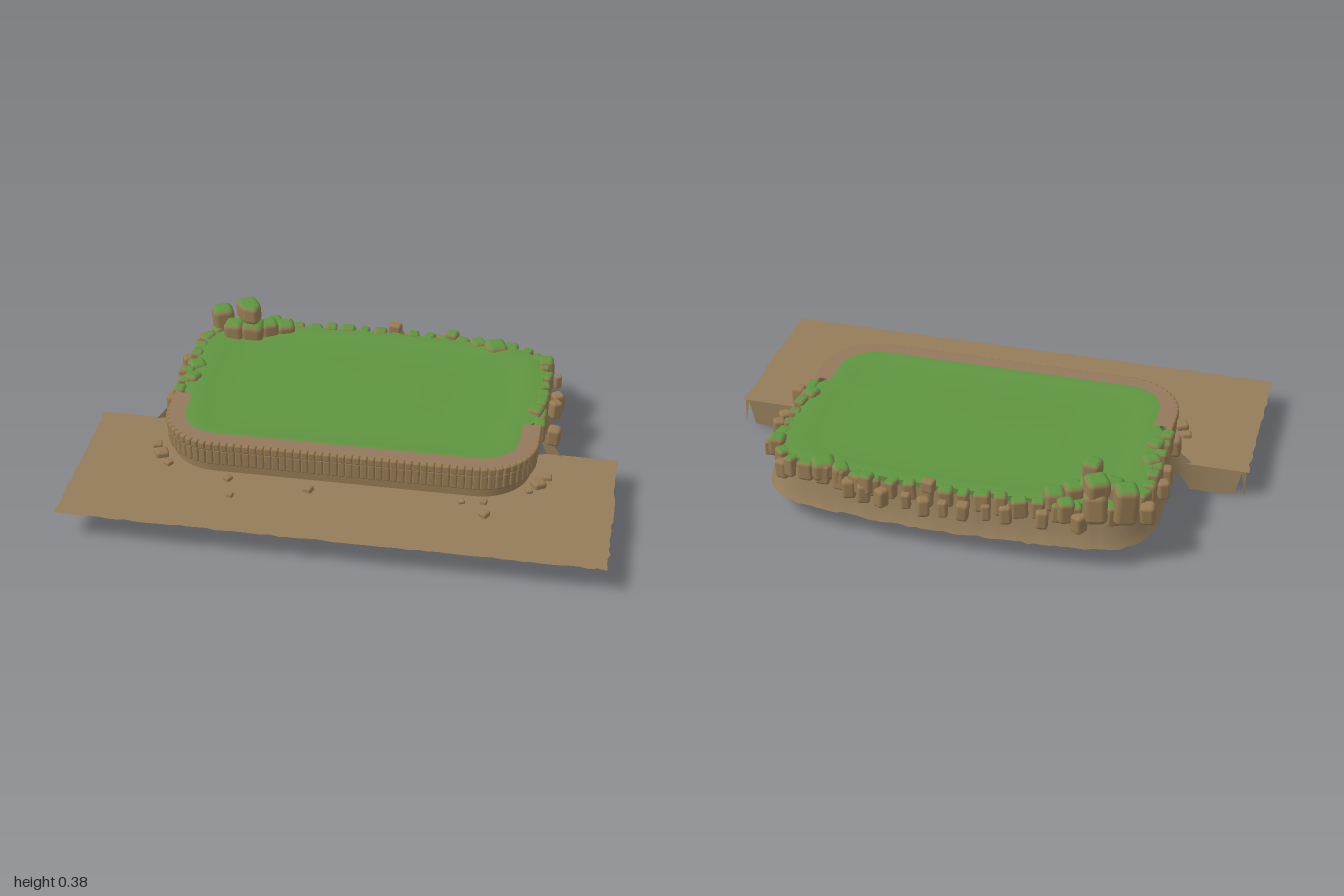
import * as THREE from 'three';
import { RoundedBoxGeometry } from 'three/addons/geometries/RoundedBoxGeometry.js';

const mat = (name, color) => {
  const m = new THREE.MeshStandardMaterial({ color, side: THREE.DoubleSide });
  m.name = name;
  return m;
};

export function createModel() {
  const model = new THREE.Group();
  model.name = 'walledTerrace';
  const grass = mat('grass green', 0x5f9440);
  const earth = mat('earth brown', 0x937c5a);
  const stone = mat('stone brown', 0x957a53);
  const coping = mat('coping brown', 0x93785c);
  const mossy = [stone, stone, grass, stone, stone, stone];

  let seed = 7;
  const rnd = (a, b) => {
    seed = (seed * 16807) % 2147483647;
    return a + (b - a) * (seed / 2147483647);
  };
  const add = (name, geometry, material, parent = model) => {
    const mesh = new THREE.Mesh(geometry, material);
    mesh.name = name;
    parent.add(mesh);
    return mesh;
  };
  const group = (name) => {
    const g = new THREE.Group();
    g.name = name;
    model.add(g);
    return g;
  };

  // Surface through rows of [x, y, z] points
  const loft = (rows) => {
    const n = rows[0].length, index = [];
    for (let r = 0; r < rows.length - 1; r++) {
      for (let i = 0; i < n - 1; i++) {
        const a = r * n + i, c = a + n;
        index.push(a, a + 1, c, a + 1, c + 1, c);
      }
    }
    const geo = new THREE.BufferGeometry();
    geo.setAttribute('position', new THREE.Float32BufferAttribute(rows.flat(2), 3));
    geo.setIndex(index);
    geo.computeVertexNormals();
    return geo;
  };

  // Evenly spaced places along a plan path, moved outward by off
  const along = (path, n, off) => Array.from({ length: n + 1 }, (_, i) => {
    const p = path.getPointAt(i / n), t = path.getTangentAt(i / n);
    return { x: p.x + t.y * off, z: -(p.y - t.x * off), turn: Math.atan2(t.y, t.x) };
  });
  const atY = (pts, y) => pts.map((p) => [p.x, y, p.z]);

  // Plan outlines, in x and -z
  const back = new THREE.Path().moveTo(0.69, 0.04).lineTo(0.685, 0.38);
  back.quadraticCurveTo(0.67, 0.54, 0.52, 0.56);
  back.quadraticCurveTo(0, 0.62, -0.52, 0.56);
  back.quadraticCurveTo(-0.67, 0.54, -0.685, 0.38).lineTo(-0.69, 0.04);
  const front = new THREE.Path().moveTo(-0.685, 0).lineTo(-0.685, -0.1);
  front.absarc(-0.485, -0.105, 0.2, Math.PI, Math.PI * 1.5, false);
  front.lineTo(0.485, -0.305);
  front.absarc(0.485, -0.105, 0.2, Math.PI * 1.5, Math.PI * 2, false);
  front.lineTo(0.685, 0);

  // Lawn with a gentle swell, and its skirt
  const edge = [...along(back, 60, -0.01), ...along(front, 60, -0.035)];
  edge.push(edge[0]);
  const ring = (s, y) => edge.map((p) => [p.x * s, y, -0.15 + (p.z + 0.15) * s]);
  add('lawn', loft([ring(1, 0.24), ring(0.93, 0.244), ring(0.86, 0.24), ring(0.78, 0.236),
    ring(0.5, 0.238), ring(0, 0.24)]), grass);
  add('lawnSkirt', loft([ring(1, 0.19), ring(1, 0.24)]), grass);

  // Retaining wall with a flat coping on top
  const base = along(front, 60, -0.01);
  add('wallBase', loft([atY(base, 0.1), atY(base, 0.24)]), stone);
  add('coping', loft([atY(along(front, 60, 0.002), 0.247), atY(along(front, 60, -0.055), 0.247)]), coping);
  const wall = group('wallBlocks');
  const count = 66;
  for (const [y, h, off] of [[0.182, 0.064, -0.002], [0.229, 0.032, 0.003]]) {
    const geo = new RoundedBoxGeometry(0.0275, h, 0.026, 1, 0.007);
    for (const p of along(front, count, off)) {
      const block = add('wallBlock', geo, stone, wall);
      block.position.set(p.x, y, p.z);
      block.rotation.y = p.turn;
    }
  }

  // Ground sheet with ragged edges, open beneath the terrace
  const shape = new THREE.Shape().moveTo(-0.995, 0.02);
  for (let i = 1; i <= 24; i++) shape.lineTo(-0.99 + rnd(-0.005, 0.005), 0.02 - i * 0.0277);
  for (let i = 0; i <= 60; i++) shape.lineTo(-0.99 + i * 0.033, -0.65 + rnd(-0.005, 0.005));
  for (let i = 24; i >= 1; i--) shape.lineTo(0.99 + rnd(-0.005, 0.005), 0.02 - i * 0.0277);
  shape.lineTo(0.99, 0.02).lineTo(0.72, 0.02);
  for (const p of [...base].reverse()) shape.lineTo(p.x, -p.z);
  shape.lineTo(-0.72, 0.02);
  const ground = add('ground', new THREE.ShapeGeometry(shape).rotateX(-Math.PI / 2), earth);
  ground.position.y = 0.11;

  // Cliff round the back, joined to hanging flaps at both sides: [x, top, bottom]
  const flap = [[0.985, 0.11, 0], [0.968, 0.11, 0.1], [0.945, 0.11, 0.005], [0.86, 0.11, 0], [0.78, 0.11, 0]];
  const side = (s) => flap.map(([x, top, bottom]) => ({ x: s * x, z: -0.01, top, bottom }));
  const n = 90, rim = along(back, n, -0.005), foot = along(back, n, 0.04), mid = along(back, n, 0.015);
  const right = side(1), left = side(-1).reverse();
  const row = (pts, key, dz, y) => [
    ...right.map((p) => [p.x, key === 'mid' ? (p.top + p.bottom) / 2 : p[key], p.z + dz]),
    ...pts.map((p) => [p.x + rnd(-0.004, 0.004), y + rnd(-0.004, 0.004), p.z + rnd(-0.004, 0.004)]),
    ...left.map((p) => [p.x, key === 'mid' ? (p.top + p.bottom) / 2 : p[key], p.z + dz]),
  ];
  add('cliff', loft([row(foot, 'bottom', -0.008, 0.082), row(mid, 'mid', -0.004, 0.125),
    row(rim, 'top', 0, 0.225)]), earth);

  // Rounded rocks
  const rock = (parent, name, x, y, z, w, h, d, material, turn = rnd(-0.6, 0.6)) => {
    const geo = new RoundedBoxGeometry(w, h, d, 2, Math.min(w, h, d) * 0.28);
    const mesh = add(name, geo, material, parent);
    mesh.position.set(x, y, z);
    mesh.rotation.set(rnd(-0.08, 0.08), turn, rnd(-0.08, 0.08));
  };

  // Mossy rocks along the lawn's back edge
  const edgeRocks = group('edgeRocks');
  along(back, 34, 0).forEach((p) => {
    const w = rnd(0.04, 0.062);
    rock(edgeRocks, 'edgeRock', p.x, rnd(0.203, 0.214), p.z, w, rnd(0.07, 0.085), rnd(0.04, 0.055),
      mossy, p.turn + rnd(-0.3, 0.3));
  });

  // Lower row of bare rocks on the cliff face
  const cliffRocks = group('cliffRocks');
  const spots = [[0.745, -0.04, 0.05], [0.735, -0.22, 0.045], [0.74, -0.28, 0.045], [0.73, -0.42, 0.025],
    [0.63, -0.53, 0.05], [0.36, -0.59, 0.05], [0.3, -0.605, 0.05], [0.23, -0.62, 0.045], [0.14, -0.615, 0.035],
    [0.07, -0.635, 0.045], [0, -0.63, 0.035], [-0.07, -0.625, 0.045], [-0.15, -0.61, 0.035],
    [-0.22, -0.605, 0.045], [-0.35, -0.6, 0.045], [-0.48, -0.59, 0.05], [-0.7, -0.47, 0.055],
    [-0.725, -0.31, 0.045], [-0.72, -0.22, 0.045], [-0.71, -0.02, 0.055]];
  for (const [x, z, s] of spots) {
    rock(cliffRocks, 'cliffRock', x, 0.183, z, s, s * 0.8 + 0.035, s, stone);
  }
  rock(cliffRocks, 'cliffRock', 0.06, 0.25, -0.6, 0.05, 0.05, 0.04, stone);

  // Rock pile at the back corner, and larger rocks along the edge
  const pile = group('rockPile');
  const boulders = [[-0.63, 0.25, -0.53, 0.085, 0.15], [-0.57, 0.25, -0.47, 0.08, 0.1],
    [-0.53, 0.24, -0.555, 0.085, 0.12], [-0.53, 0.315, -0.545, 0.085, 0.075], [-0.5, 0.338, -0.475, 0.065, 0.075],
    [-0.5, 0.25, -0.48, 0.09, 0.1], [-0.44, 0.25, -0.51, 0.07, 0.08], [-0.38, 0.235, -0.54, 0.075, 0.08],
    [-0.43, 0.22, -0.58, 0.06, 0.09], [0.47, 0.22, -0.545, 0.085, 0.08], [0.29, 0.22, -0.6, 0.05, 0.08],
    [0.67, 0.215, -0.11, 0.06, 0.09], [0.68, 0.225, -0.45, 0.06, 0.08], [0.4, 0.215, -0.56, 0.06, 0.08],
    [-0.665, 0.21, -0.22, 0.065, 0.09], [-0.66, 0.215, -0.12, 0.06, 0.09]];
  for (const [x, y, z, s, h] of boulders) rock(pile, 'boulder', x, y, z, s, h, s, mossy);

  // Pebbles scattered on the ground
  const pebbles = group('pebbles');
  const scatter = [[-0.73, 0.17, 0.035], [-0.7, 0.225, 0.05], [-0.66, 0.28, 0.03], [-0.42, 0.34, 0.03],
    [-0.39, 0.44, 0.025], [-0.115, 0.36, 0.035], [0.445, 0.34, 0.024], [0.525, 0.33, 0.026],
    [0.535, 0.405, 0.035], [0.71, 0.19, 0.05], [0.74, 0.14, 0.032], [0.68, 0.235, 0.026]];
  for (const [x, z, s] of scatter) rock(pebbles, 'pebble', x, 0.112, z, s, s * 0.8, s, stone);

  return model;
}
